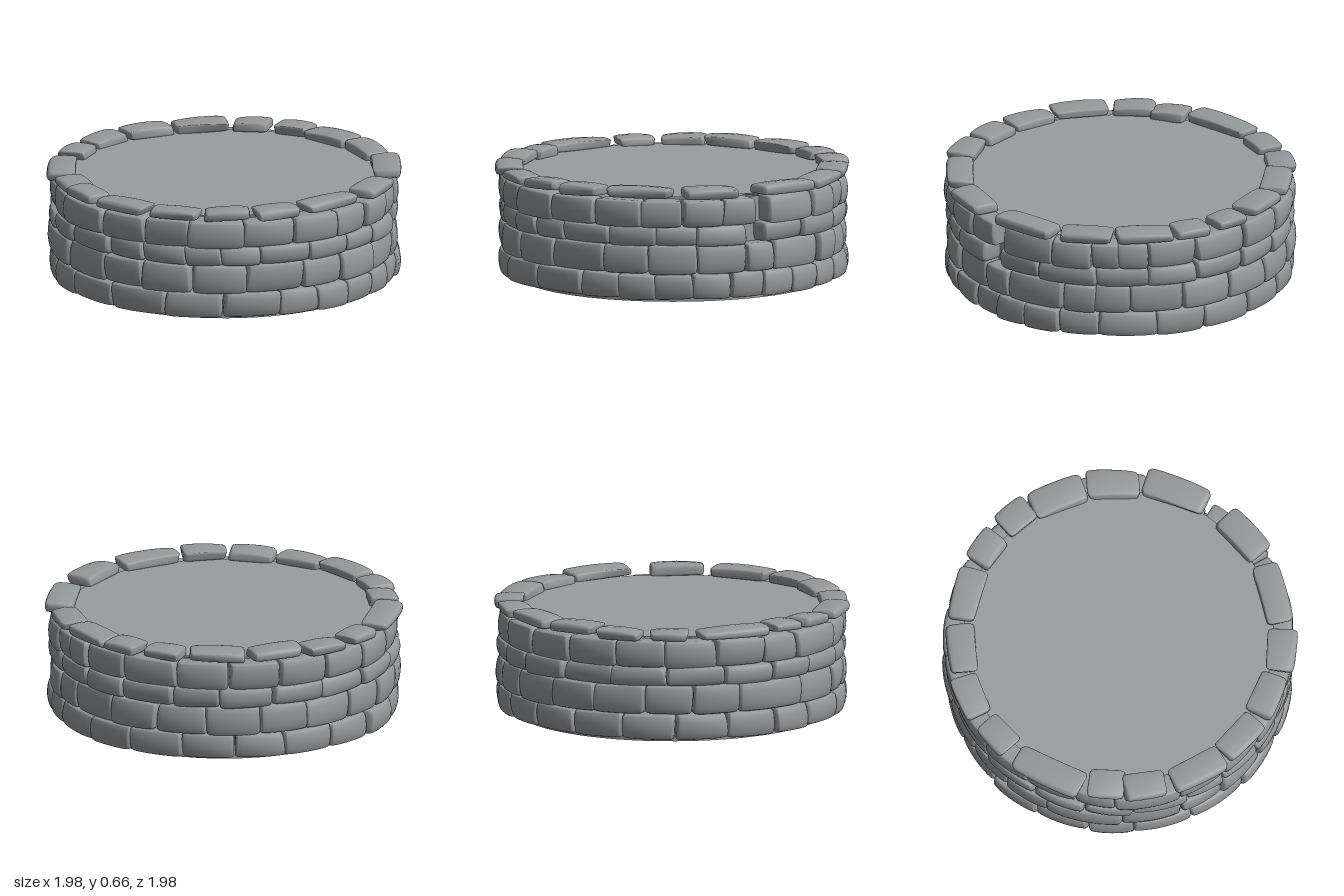
import * as THREE from 'three';
import { mergeVertices } from 'three/addons/utils/BufferGeometryUtils.js';

const RAD = Math.PI / 180;

// small seeded generator, returns -1..1
let seed = 7;
const rnd = () => {
  seed = (seed * 16807) % 2147483647;
  return (seed / 2147483647) * 2 - 1;
};

// Rounded block between two angles (degrees, 0 = front, 90 = +x), two heights
// and two radii. Its eight corners are nudged a little; bend 0 leaves it
// straight, 1 follows the circle; dome thins the top toward its edges.
function stoneGeometry({ a0, a1, y0, y1, r0, r1, bulge, wobble, bend, dome = 0, tilt = 0 }) {
  const g = new THREE.BoxGeometry(2, 2, 2, 8, 6, 4);
  g.deleteAttribute('uv');
  g.deleteAttribute('normal');
  const pos = g.attributes.position;
  const corners = Array.from({ length: 8 }, () => [rnd() * wobble, rnd() * wobble * 0.5, rnd() * wobble]);
  const mid = ((a0 + a1) / 2) * RAD, half = ((a1 - a0) / 2) * RAD;
  const rMid = (r0 + r1) / 2, power = 9;
  for (let i = 0; i < pos.count; i++) {
    // crowd the grid toward the edges, then round the cube
    const p = [pos.getX(i), pos.getY(i), pos.getZ(i)].map(c => Math.sin(c * Math.PI / 2));
    const norm = Math.pow(p.reduce((s, c) => s + Math.pow(Math.abs(c), power), 0), 1 / power);
    const [u, v, w] = p.map(c => c / norm);
    // blend the corner nudges
    const d = [0, 0, 0];
    corners.forEach((c, k) => {
      const f = (1 + (k & 1 ? u : -u)) * (1 + (k & 2 ? v : -v)) * (1 + (k & 4 ? w : -w)) / 8;
      for (let j = 0; j < 3; j++) d[j] += c[j] * f;
    });
    const r = rMid + w * (r1 - r0) / 2 + d[2] - Math.max(w, 0) * bulge * (v * v + 0.4 * u * u);
    const y = (y0 + y1) / 2 + v * (y1 - y0) / 2 + d[1] + u * tilt - Math.max(v, 0) * dome * (u * u + w * w);
    const side = u * half * rMid + d[0];
    // part of the offset runs round the circle, the rest along the tangent
    const a = mid + bend * side / rMid, t = (1 - bend) * side;
    pos.setXYZ(i, Math.sin(a) * r + Math.cos(a) * t, y, Math.cos(a) * r - Math.sin(a) * t);
  }
  const out = mergeVertices(g, 1e-5);
  out.computeVertexNormals();
  return out;
}

// joint angles of each course, bottom to top; skip marks an open gap
const courses = [
  { y0: 0.025, y1: 0.168, joints: [-84, -66, -50.5, -31, -10, 10, 29, 43, 56, 68.5, 82, 93.5, 105.5, 118, 131, 151, 168, 187, 205, 222, 240, 258, 276] },
  { y0: 0.166, y1: 0.332, joints: [-80, -54.5, -34, -18.5, -1, 17.5, 38, 53, 70, 87.5, 98, 119, 130, 141.5, 160, 178, 195, 213, 230, 248, 264, 280] },
  { y0: 0.328, y1: 0.438, joints: [-85, -67, -51, -32, -18, -3, 9, 22, 40, 56, 70, 87, 93.5, 110, 130.5, 148, 165, 184, 200, 218, 236, 255, 275], skip: 87 },
  { y0: 0.432, y1: 0.586, joints: [-88, -70, -57, -35, -18, -2, 16.5, 34, 51, 65, 79, 90.5, 96, 115, 129, 138, 148, 165, 185, 203, 220, 238, 255, 272], skip: 90.5 },
];

// cap stones: centre angle, angular width, centre radius
const caps = [
  [180, 13, 0.904], [164, 13, 0.904], [147, 20, 0.896], [126.6, 19, 0.906], [104, 23, 0.914], [75, 19, 0.914],
  [50, 23, 0.9], [28.5, 15, 0.915], [11, 16, 0.906], [-7.5, 17, 0.908], [-27, 20, 0.915], [-46, 15, 0.915],
  [-60, 13, 0.9], [-81, 26, 0.91], [-104, 13, 0.904], [-121.5, 16, 0.909], [-140, 19, 0.887], [-161.5, 20, 0.888],
];

export function createModel() {
  seed = 7;
  const model = new THREE.Group();
  model.name = 'roundStonePlatform';
  const stone = new THREE.MeshStandardMaterial({ name: 'stone grey', color: 0x94999c });
  const core = new THREE.MeshStandardMaterial({ name: 'core grey', color: 0x989d9f, side: THREE.DoubleSide });

  const add = (parent, name, geometry, material) => {
    const mesh = new THREE.Mesh(geometry, material);
    mesh.name = name;
    parent.add(mesh);
  };

  // open-bottomed drum skin, with the floor disc just above it
  add(model, 'drumWall', new THREE.CylinderGeometry(0.87, 0.87, 0.58, 64, 1, true).translate(0, 0.29, 0), core);
  add(model, 'floorDisc', new THREE.CircleGeometry(0.87, 64).rotateX(-Math.PI / 2).translate(0, 0.597, 0), core);

  // four courses of wall stones
  courses.forEach(({ y0, y1, joints, skip }, row) => {
    const course = new THREE.Group();
    course.name = `wallCourse${row + 1}`;
    for (let i = 0; i < joints.length - 1; i++) {
      if (joints[i] === skip) continue;
      add(course, 'wallStone', stoneGeometry({
        a0: joints[i] - 0.2, a1: joints[i + 1] + 0.2, y0, y1,
        r0: 0.835, r1: 0.98 + rnd() * 0.008, bulge: 0.014, wobble: 0.012, bend: 0.7,
      }), stone);
    }
    model.add(course);
  });

  // loose flat stones around the rim
  const rim = new THREE.Group();
  rim.name = 'rimStones';
  for (const [a, w, r] of caps) {
    const lift = rnd() * 0.005;
    add(rim, 'rimStone', stoneGeometry({
      a0: a - w / 2, a1: a + w / 2, y0: 0.592 + lift, y1: 0.655 + lift, r0: r - 0.081, r1: r + 0.081,
      bulge: 0.008, wobble: 0.013, bend: 0.15, dome: 0.008, tilt: rnd() * 0.005,
    }), stone);
  }
  model.add(rim);
  return model;
}
